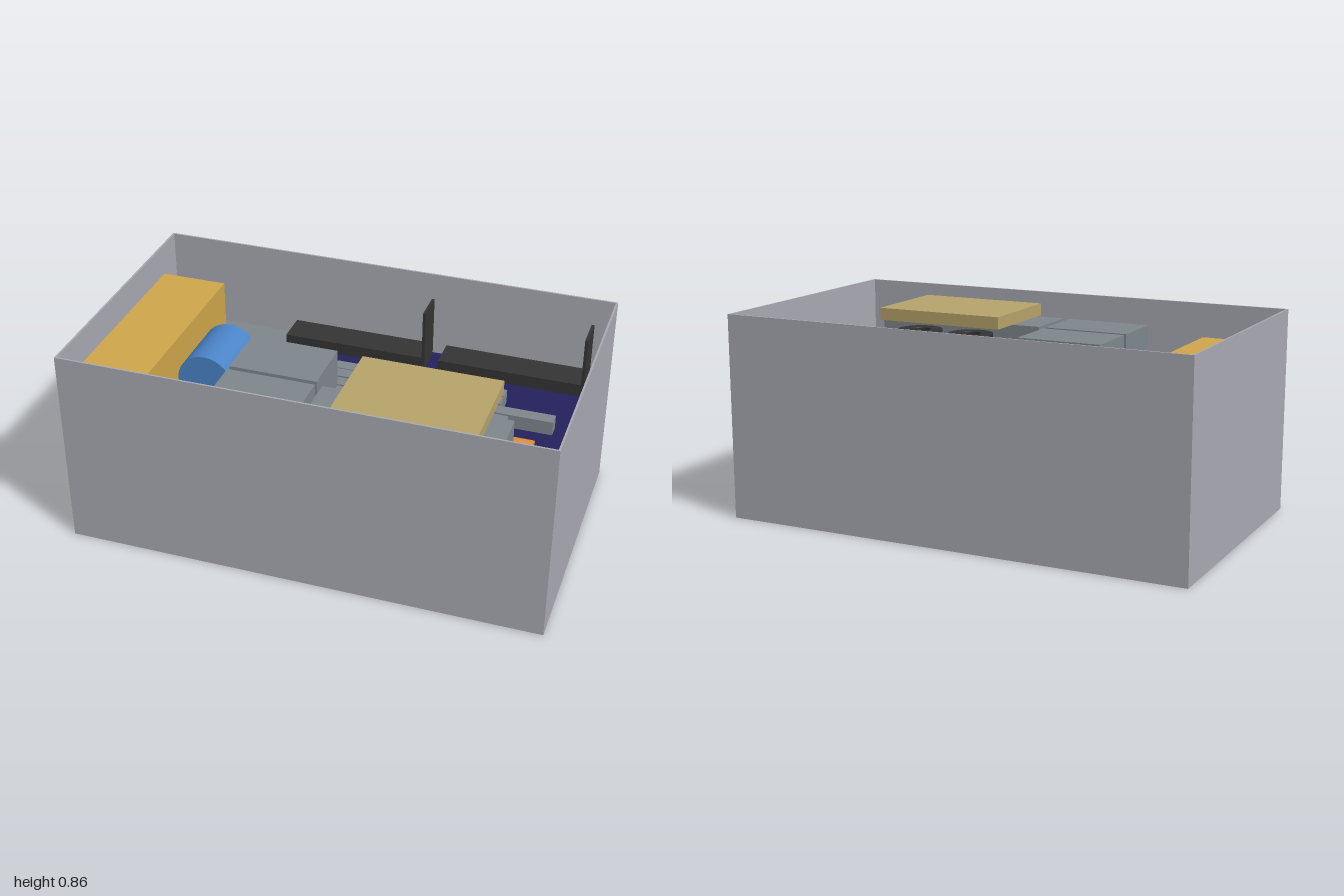
import * as THREE from 'three';

const paint = (name, color) => {
  const m = new THREE.MeshStandardMaterial({ color });
  m.name = name;
  return m;
};

export function createModel() {
  const root = new THREE.Group();
  root.name = 'openEnclosure';

  const shell = paint('shell grey', 0xaaaab4);
  const grey = paint('component grey', 0x7f878e);
  const gold = paint('gold', 0xcfa64a);
  const tan = paint('tan', 0xb7a46b);
  const blue = paint('blue', 0x4a84c8);
  const navy = paint('navy', 0x24215c);
  const black = paint('black', 0x343434);
  const copper = paint('copper', 0xdd8c36);

  const add = (name, geometry, material, x = 0, y = 0, z = 0) => {
    const mesh = new THREE.Mesh(geometry, material);
    mesh.name = name;
    mesh.position.set(x, y, z);
    root.add(mesh);
    return mesh;
  };
  // box given by its limits along each axis
  const block = (name, material, [x0, x1], [y0, y1], [z0, z1]) =>
    add(name, new THREE.BoxGeometry(x1 - x0, y1 - y0, z1 - z0), material,
      (x0 + x1) / 2, (y0 + y1) / 2, (z0 + z1) / 2);

  // open-topped case
  const W = 1, D = 0.57, H = 0.86, T = 0.008;
  block('caseFloor', shell, [-W, W], [0, T], [-D, D]);
  for (const s of [-1, 1]) {
    add('caseLongWall', new THREE.BoxGeometry(2 * W, H - T, T), shell, 0, (H + T) / 2, s * (D - T / 2));
    add('caseEndWall', new THREE.BoxGeometry(T, H - T, 2 * (D - T)), shell, s * (W - T / 2), (H + T) / 2, 0);
  }

  // shelf carrying the components
  block('shelf', grey, [-W + T, W - T], [0.44, 0.46], [-D + T, D - T]);
  block('powerSupply', gold, [-0.975, -0.69], [0.46, 0.744], [-0.4, 0.4]);
  block('circuitBoard', navy, [-0.375, 0.91], [0.495, 0.515], [-0.5, 0.5]);

  // horizontal cylinder
  add('blueCylinder', new THREE.CylinderGeometry(0.12, 0.12, 0.285, 48), blue, -0.56, 0.58, -0.0025)
    .rotation.x = Math.PI / 2;

  // black cards with an upright bracket at one end
  for (const x of [-0.385, 0.3]) {
    block('card', black, [x, x + 0.625], [0.515, 0.57], [-0.485, -0.35]);
    block('cardBracket', black, [x + 0.613, x + 0.625], [0.515, 0.785], [-0.485, -0.35]);
  }

  // parallel grey slots
  const slots = [
    [-0.1, 0.635, -0.21], [-0.1, 0.635, -0.15], [-0.335, 0.865, -0.085],
    [-0.145, 0.685, -0.02], [-0.145, 0.685, 0.04],
  ];
  for (const [x0, x1, z] of slots) block('slot', grey, [x0, x1], [0.515, 0.575], [z, z + 0.055]);

  // row of copper rods
  const rods = [
    [-0.2, 0.825, 0.14], [-0.2, 0.825, 0.195], [-0.4, 0.94, 0.252], [-0.4, 0.94, 0.306],
    [-0.415, 0.955, 0.36], [-0.415, 0.955, 0.413], [-0.415, 0.955, 0.467], [-0.415, 0.955, 0.525],
  ];
  for (const [x0, x1, z] of rods) {
    add('copperRod', new THREE.CylinderGeometry(0.022, 0.022, x1 - x0, 20), copper, (x0 + x1) / 2, 0.565, z)
      .rotation.z = Math.PI / 2;
  }

  // grey modules above the rods
  block('rearModule', grey, [-0.4, -0.03], [0.59, 0.754], [0, 0.25]);
  block('frontModule', grey, [-0.4, -0.03], [0.59, 0.754], [0.272, 0.522]);
  block('wideModule', grey, [0, 0.77], [0.59, 0.754], [0.272, 0.522]);

  // black rings and the tan plate over them
  const ring = [[0.045, 0], [0.097, 0], [0.097, 0.15], [0.045, 0.15], [0.045, 0]];
  const points = [];
  ring.slice(0, -1).forEach(([r, y], i) => {
    // doubled corners keep the edges crisp
    const [r2, y2] = ring[i + 1];
    points.push(new THREE.Vector2(r, y), new THREE.Vector2(r + (r2 - r) * 0.02, y + (y2 - y) * 0.02),
      new THREE.Vector2(r + (r2 - r) * 0.98, y + (y2 - y) * 0.98));
  });
  points.push(new THREE.Vector2(...ring[0]));
  for (const x of [0.255, 0.5]) add('blackRing', new THREE.LatheGeometry(points, 40), black, x, 0.58, 0.125);
  block('tanPlate', tan, [0.11, 0.685], [0.76, 0.813], [0.1, 0.522]);

  return root;
}
